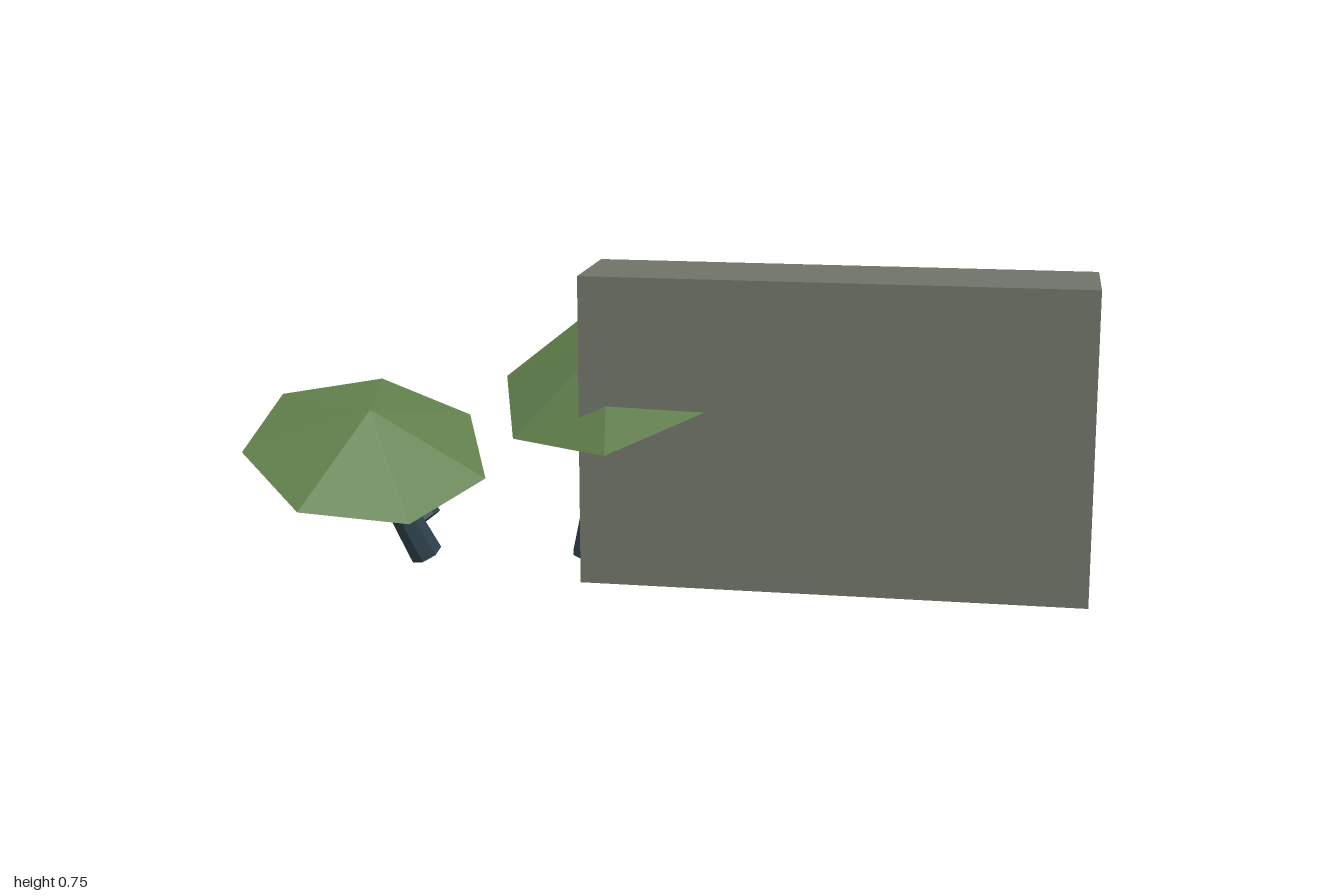
import * as THREE from 'three';

const mat = (name, color) => {
  const m = new THREE.MeshStandardMaterial({ color, flatShading: true });
  m.name = name;
  return m;
};

export function createModel() {
  const stone = mat('stone grey', 0x6f7368);
  const leaf = mat('cap green', 0x5f7f4b);
  const bark = mat('stem blue grey', 0x2f424c);
  const pale = mat('pale tan', 0xc9b592);
  const up = new THREE.Vector3(0, 1, 0);

  const root = new THREE.Group();
  root.name = 'staircaseWithMushrooms';
  const add = (parent, name, geometry, material) => {
    const mesh = new THREE.Mesh(geometry, material);
    mesh.name = name;
    parent.add(mesh);
    return mesh;
  };

  // Five separate step blocks, rising toward the front
  const stairs = new THREE.Group();
  stairs.name = 'stairs';
  root.add(stairs);
  for (let i = 0; i < 5; i++) {
    const h = 0.127 + i * 0.1475;
    add(stairs, 'step', new THREE.BoxGeometry(1.155, h, 0.258), stone)
      .position.set(0.4225, 0.03 + h / 2, -0.646 + i * 0.2765);
  }

  // Leaning stem from base to cap centre, with a separately tilted seven-sided cap
  const mushroom = (base, centre, normal, radius, height, phase) => {
    const group = new THREE.Group();
    group.name = 'mushroom';
    root.add(group);

    const a = new THREE.Vector3(...base), b = new THREE.Vector3(...centre);
    const axis = b.clone().sub(a);
    const stem = add(group, 'stem', new THREE.CylinderGeometry(0.028, 0.04, axis.length(), 7), bark);
    stem.position.copy(a).add(b).multiplyScalar(0.5);
    stem.quaternion.setFromUnitVectors(up, axis.clone().normalize());

    const n = new THREE.Vector3(...normal).normalize();
    const geometry = new THREE.ConeGeometry(radius, height, 7, 1, false, phase);
    geometry.translate(0, height / 2, 0);
    const cap = add(group, 'cap', geometry, leaf);
    cap.position.copy(b);
    cap.quaternion.setFromUnitVectors(up, n);
  };
  mushroom([-0.275, 0.03, -0.335], [-0.262, 0.39, -0.455], [0, 0.885, -0.46], 0.195, 0.11, 2.96);
  mushroom([-0.58, 0.025, 0.41], [-0.689, 0.304, 0.5], [0.222, 1, 0.389], 0.292, 0.115, 1.55);
  mushroom([-0.665, 0.025, 0.12], [-0.822, 0.222, 0.095], [0.33, 1, -0.06], 0.202, 0.1, 1.6);
  mushroom([-0.19, 0.025, 0.35], [-0.095, 0.485, 0.41], [-0.2, 1, 0.485], 0.3, 0.11, 0.02);
  mushroom([-0.125, 0.025, 0.19], [0.035, 0.23, 0.197], [0.3, 1, 0], 0.2, 0.1, 0.3);

  // Faceted spore balls beside the steps
  for (const [x, y, z, r] of [[-0.21, 0.38, 0.33, 0.08], [-0.15, 0.237, 0.15, 0.06]]) {
    add(root, 'sporeBall', new THREE.IcosahedronGeometry(r, 0), pale).position.set(x, y, z);
  }
  return root;
}
